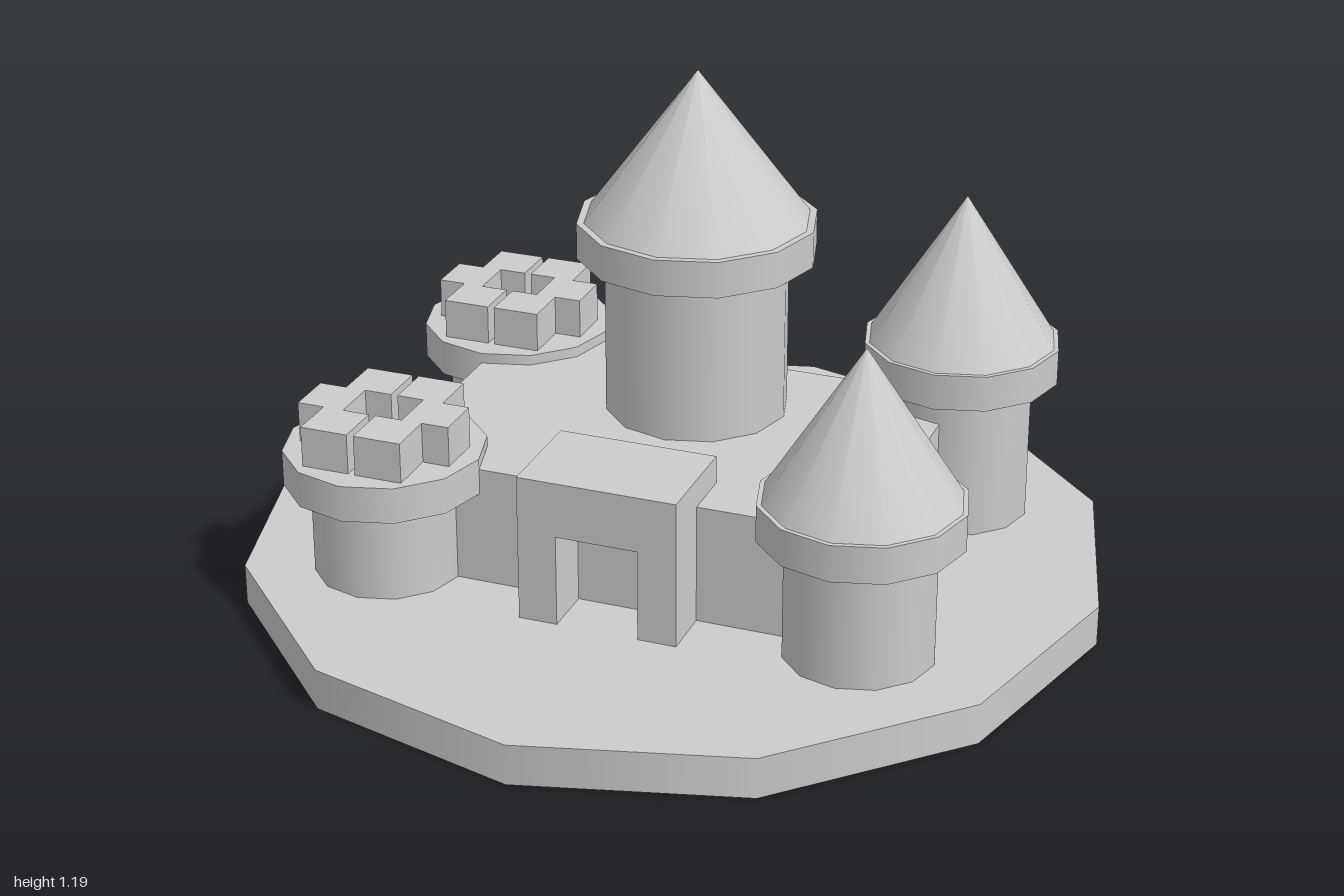
import * as THREE from 'three';

export function createModel() {
  const root = new THREE.Group();
  root.name = 'castle';
  const stone = new THREE.MeshStandardMaterial({ color: 0xcccccc });
  stone.name = 'stone grey';
  const GROUND = 0.095;

  function add(parent, name, geometry, x, y, z) {
    const mesh = new THREE.Mesh(geometry, stone);
    mesh.name = name;
    mesh.position.set(x, y, z);
    parent.add(mesh);
  }

  // Twelve-sided drum between two heights
  function drum(parent, name, r, y0, y1, x, z) {
    add(parent, name, new THREE.CylinderGeometry(r, r, y1 - y0, 12), x, (y0 + y1) / 2, z);
  }

  // Shaft with an overhanging collar, optionally topped by a cone roof
  function tower(name, x, z, r, collarR, collarY, roofR, roofTop) {
    const g = new THREE.Group();
    g.name = name;
    g.position.set(x, 0, z);
    const top = collarY + 0.085;
    drum(g, 'shaft', r, GROUND, collarY, 0, 0);
    drum(g, 'collar', collarR, collarY, top, 0, 0);
    if (roofR) {
      add(g, 'roof', new THREE.ConeGeometry(roofR, roofTop - top, 12), 0, (top + roofTop) / 2, 0);
    } else {
      // Ring of six square battlements, all aligned to the axes
      for (let i = 0; i < 6; i++) {
        const a = (i * Math.PI) / 3;
        add(g, 'battlement', new THREE.BoxGeometry(0.112, 0.095, 0.112),
          Math.cos(a) * 0.128, top + 0.0475, Math.sin(a) * 0.112 / Math.sin(Math.PI / 3));
      }
    }
    root.add(g);
  }

  // Base and solid curtain wall block
  drum(root, 'base', 1, 0, GROUND, 0, 0);
  add(root, 'walls', new THREE.BoxGeometry(1.12, 0.28, 0.75), 0, GROUND + 0.14, 0);

  // Towers
  tower('keep', 0, -0.125, 0.213, 0.277, 0.755, 0.26, 1.19);
  tower('frontLeftTower', 0.56, 0.375, 0.17, 0.23, 0.38, 0.219, 0.812);
  tower('backLeftTower', 0.56, -0.38, 0.17, 0.23, 0.44, 0.219, 0.875);
  tower('frontRightTower', -0.56, 0.375, 0.17, 0.23, 0.315);
  tower('backRightTower', -0.56, -0.38, 0.17, 0.23, 0.315);

  // Gatehouse with a square doorway
  const arch = new THREE.Shape([
    [-0.185, GROUND], [-0.095, GROUND], [-0.095, 0.31], [0.095, 0.31],
    [0.095, GROUND], [0.185, GROUND], [0.185, 0.44], [-0.185, 0.44],
  ].map(([x, y]) => new THREE.Vector2(x, y)));
  add(root, 'gatehouse', new THREE.ExtrudeGeometry(arch, { depth: 0.25, bevelEnabled: false }), 0, 0, 0.25);

  return root;
}
